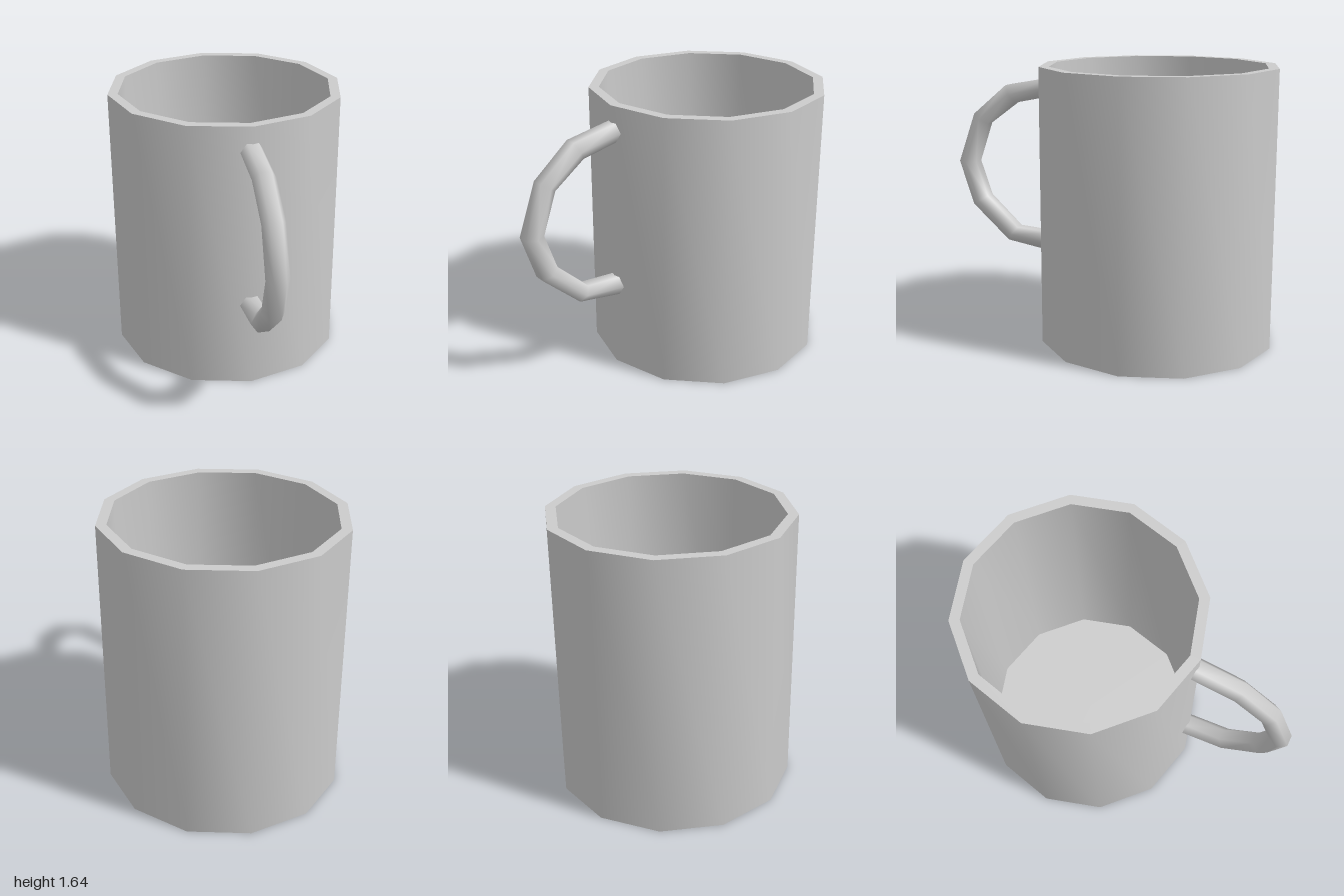
import * as THREE from 'three';
import { toCreasedNormals } from 'three/addons/utils/BufferGeometryUtils.js';

const SIDES = 12, RADIUS = 0.7, HEIGHT = 1.645, WALL = 0.06, BODY_Z = -0.3;
const grey = new THREE.MeshStandardMaterial({ color: 0xcccccc });

// Hollow twelve-sided cup: underside, outer wall, rim, inner wall, floor
function makeCup() {
  const inner = RADIUS - WALL;
  const profile = [
    [0, 0], [RADIUS, 0], [RADIUS, HEIGHT], [inner, HEIGHT], [inner, WALL], [0, WALL],
  ].map(([r, y]) => new THREE.Vector2(r, y));
  const cup = new THREE.Mesh(toCreasedNormals(new THREE.LatheGeometry(profile, SIDES), 0.8), grey);
  cup.name = 'cup';
  cup.position.z = BODY_Z;
  return cup;
}

// Hexagonal handle swept through mitred joints; ends are buried in the wall
function makeHandle() {
  const HEX = 6, halfWidth = 0.067;
  // Each joint: outer z, outer y, inner z, inner y
  const joints = [
    [0.37, 1.55, 0.37, 1.44], [0.67, 1.495, 0.61, 1.39], [0.89, 1.31, 0.8, 1.25],
    [1.0, 1.005, 0.885, 1.005], [0.91, 0.735, 0.81, 0.79], [0.67, 0.52, 0.61, 0.605],
    [0.37, 0.473, 0.37, 0.588],
  ];
  const positions = [], index = [];
  joints.forEach(([oz, oy, iz, iy], i) => {
    for (let j = 0; j < HEX; j++) {
      const a = (j / HEX) * Math.PI * 2;
      const t = 0.5 + 0.5 * Math.sin(a) / Math.sin(Math.PI / 3);
      positions.push(halfWidth * Math.cos(a), iy + (oy - iy) * t, iz + (oz - iz) * t);
      if (i === joints.length - 1) continue;
      const p = i * HEX + j, q = i * HEX + (j + 1) % HEX;
      index.push(p, q, p + HEX, q, q + HEX, p + HEX);
    }
  });
  const geometry = new THREE.BufferGeometry();
  geometry.setAttribute('position', new THREE.Float32BufferAttribute(positions, 3));
  geometry.setIndex(index);
  geometry.computeVertexNormals();
  const handle = new THREE.Mesh(geometry, grey);
  handle.name = 'handle';
  return handle;
}

export function createModel() {
  const mug = new THREE.Group();
  mug.name = 'mug';
  mug.add(makeCup(), makeHandle());
  return mug;
}
